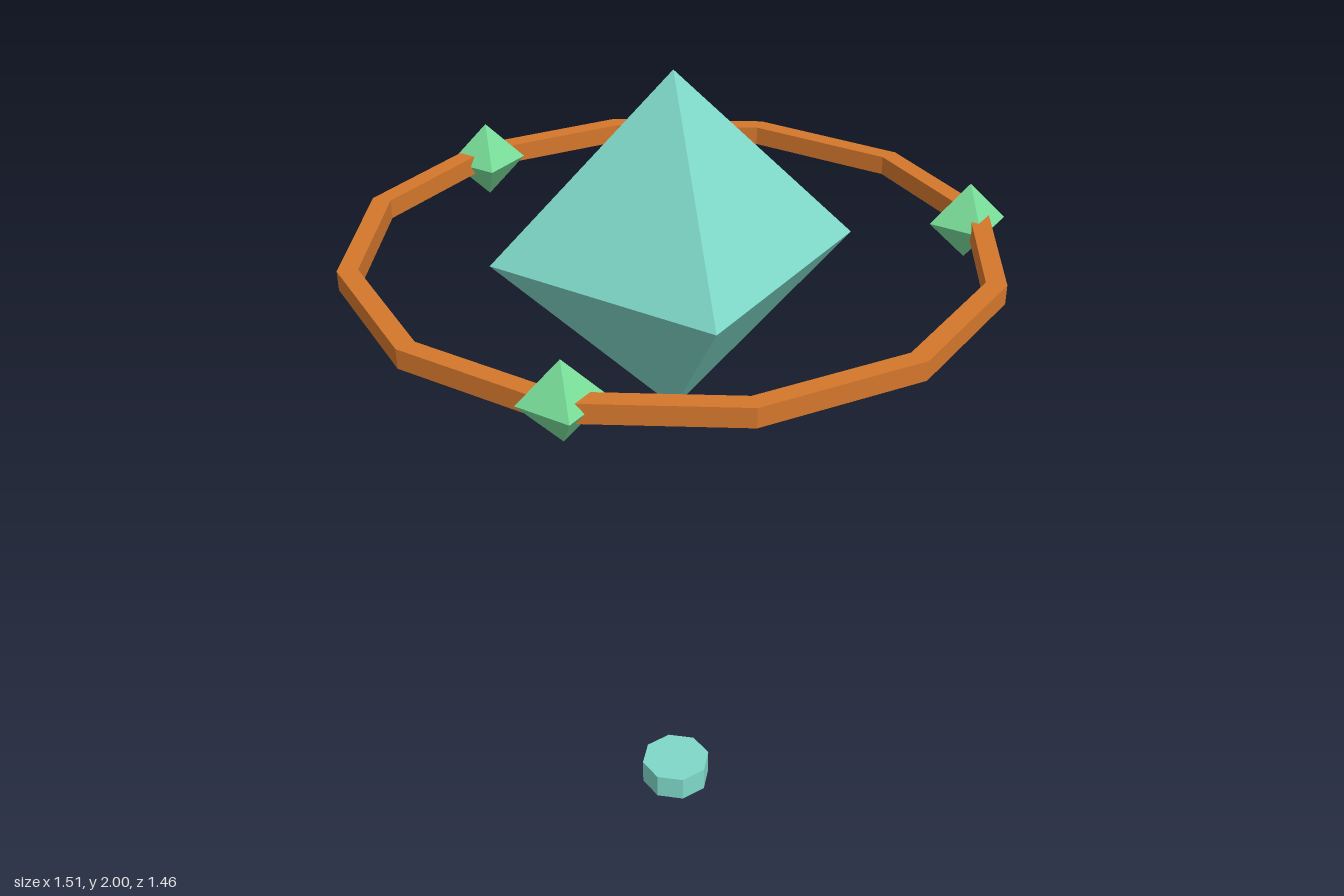
import * as THREE from 'three';

const flat = (name, color) => {
  const m = new THREE.MeshStandardMaterial({ color, flatShading: true });
  m.name = name;
  return m;
};

export function createModel() {
  const teal = flat('teal', 0x7fd8c8);
  const green = flat('light green', 0x78dc98);
  const orange = flat('orange', 0xd4772c);

  const group = new THREE.Group();
  group.name = 'floatingCrystal';
  const cx = -0.025, cy = 1.592; // shared axis and floating height

  const add = (name, geometry, material, x, y, z) => {
    const mesh = new THREE.Mesh(geometry, material);
    mesh.name = name;
    mesh.position.set(x, y, z);
    group.add(mesh);
  };

  // Small eight-sided base disc
  add('baseDisc', new THREE.CylinderGeometry(0.091, 0.091, 0.068, 8), teal, cx, 0.034, 0);

  // Large central crystal
  add('crystal', new THREE.OctahedronGeometry(0.408), teal, cx, cy, 0);

  // Twelve-sided ring with a square section
  const inner = 0.687, outer = 0.732, h = 0.022;
  const section = [[inner, -h], [outer, -h], [outer, h], [inner, h], [inner, -h]]
    .map(([r, y]) => new THREE.Vector2(r, y));
  add('ring', new THREE.LatheGeometry(section, 12), orange, cx, cy, 0);

  // Three small crystals spaced evenly on the ring
  for (let i = 0; i < 3; i++) {
    const a = (i * Math.PI * 2) / 3;
    add('ringCrystal' + (i + 1), new THREE.OctahedronGeometry(0.09), green,
      cx + 0.685 * Math.cos(a), cy, 0.685 * Math.sin(a));
  }
  return group;
}
